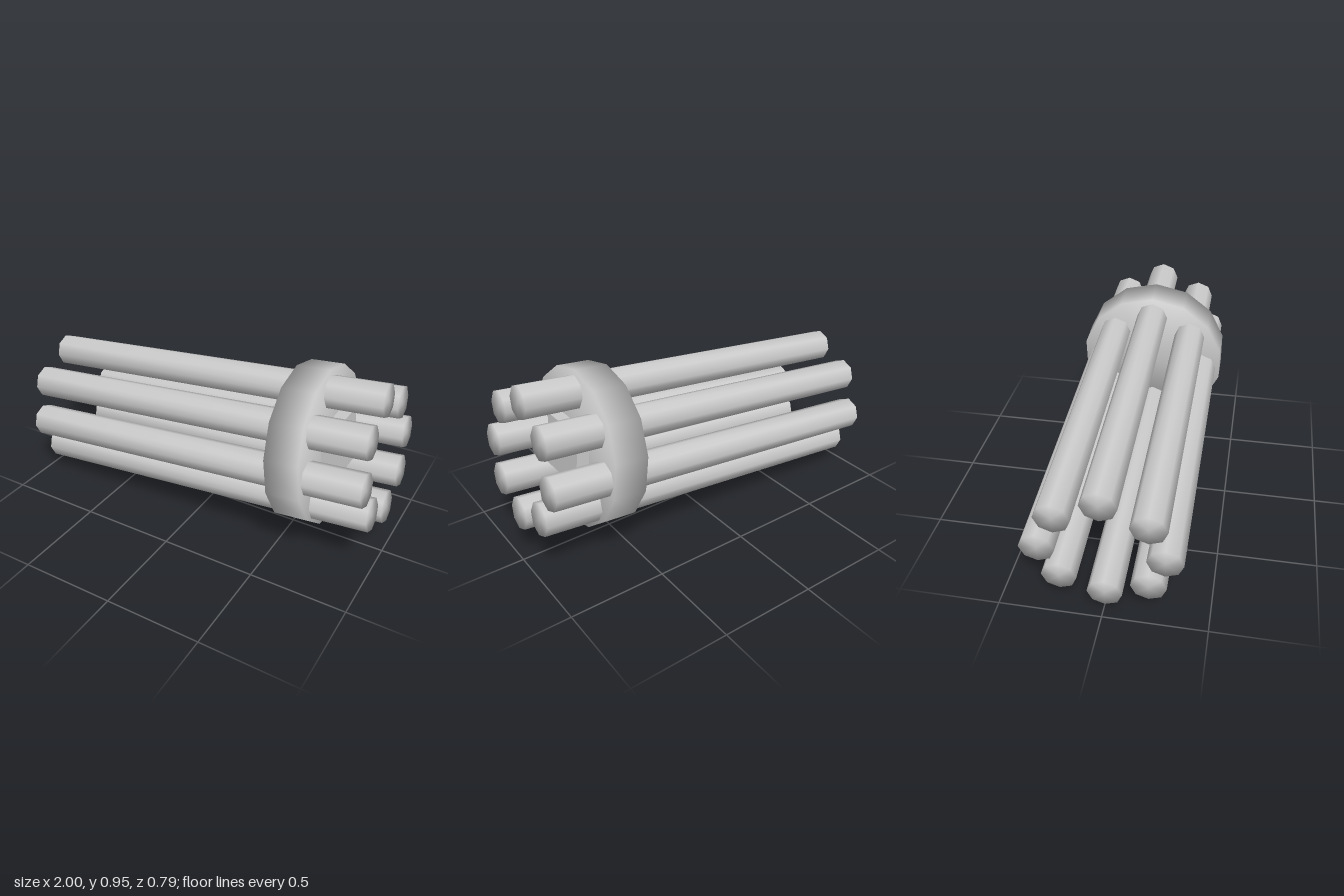
import * as THREE from 'three';
import { mergeVertices } from 'three/addons/utils/BufferGeometryUtils.js';

const grey = new THREE.MeshStandardMaterial({ color: 0xcccccc });

// Closed prism along x with normals blended over the rims, one corner pointing up
function softPrism(radius, length, sides) {
  let g = new THREE.CylinderGeometry(radius, radius, length, sides);
  g.deleteAttribute('uv');
  g.deleteAttribute('normal');
  g = mergeVertices(g, 1e-4);
  g.rotateY(Math.PI / 2).rotateZ(-Math.PI / 2);
  g.computeVertexNormals();
  return g;
}

export function createModel() {
  const model = new THREE.Group();
  model.name = 'barrelCluster';

  // Everything shares one tilted axis
  const tilted = new THREE.Group();
  tilted.name = 'tiltedAssembly';
  tilted.position.y = 0.479;
  tilted.rotation.z = 0.1016;
  model.add(tilted);

  function add(name, geometry, x, y, z) {
    const mesh = new THREE.Mesh(geometry, grey);
    mesh.name = name;
    mesh.position.set(x, y, z);
    tilted.add(mesh);
  }

  // Eight barrels around the axis: [y, z]
  const barrel = softPrism(0.085, 1.93, 8);
  const centres = [
    [0.294, 0], [0.184, 0.215], [-0.025, 0.287], [-0.208, 0.21],
    [-0.294, 0], [-0.208, -0.213], [-0.025, -0.302], [0.184, -0.213],
  ];
  centres.forEach(([y, z], i) => add('barrel' + (i + 1), barrel, 0, y, z));

  // Disc clamping the barrels near the muzzle end
  add('clampDisc', softPrism(0.405, 0.175, 14), 0.592, 0, 0);

  // Square hub standing slightly proud of the disc
  add('hubBlock', new THREE.BoxGeometry(0.23, 0.275, 0.295), 0.63, 0.006, -0.0125);

  return model;
}
